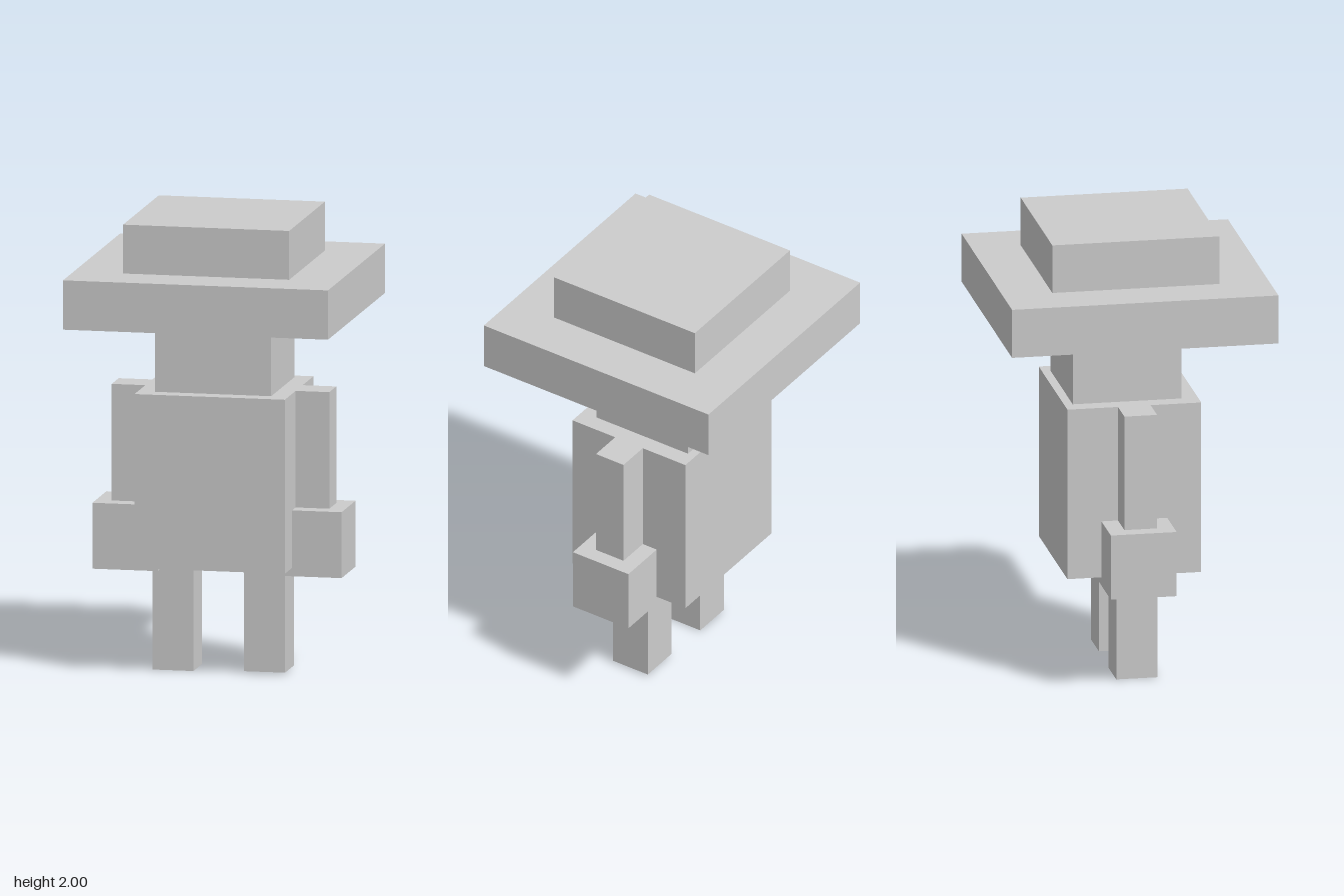
import * as THREE from 'three';

export function createModel() {
  const group = new THREE.Group();
  const grey = new THREE.MeshStandardMaterial({ color: 0xcccccc });
  grey.name = 'plain grey';

  // Box given by its extents on each axis
  function block(name, [x0, x1], [y0, y1], [z0, z1]) {
    const mesh = new THREE.Mesh(new THREE.BoxGeometry(x1 - x0, y1 - y0, z1 - z0), grey);
    mesh.position.set((x0 + x1) / 2, (y0 + y1) / 2, (z0 + z1) / 2);
    mesh.name = name;
    group.add(mesh);
  }

  // Torso, head and hat
  block('torso', [-0.333, 0.333], [0.477, 1.243], [-0.295, 0.295]);
  block('head', [-0.257, 0.257], [1.243, 1.568], [-0.257, 0.222]);
  block('hatBrim', [-0.587, 0.587], [1.568, 1.785], [-0.587, 0.587]);
  block('hatCrown', [-0.368, 0.368], [1.785, 2], [-0.368, 0.368]);

  // Arms, hands and legs on both sides
  for (const [side, s] of [['left', 1], ['right', -1]]) {
    const span = (a, b) => (s > 0 ? [a, b] : [-b, -a]);
    block(side + 'Arm', span(0.333, 0.482), [0.73, 1.243], [-0.072, 0.072]);
    block(side + 'Hand', span(0.262, 0.552), [0.44, 0.73], [-0.145, 0.145]);
    // The left leg is slightly shorter
    block(side + 'Leg', span(0.112, 0.294), [s > 0 ? 0.008 : 0, 0.477], [-0.072, 0.11]);
  }

  return group;
}
